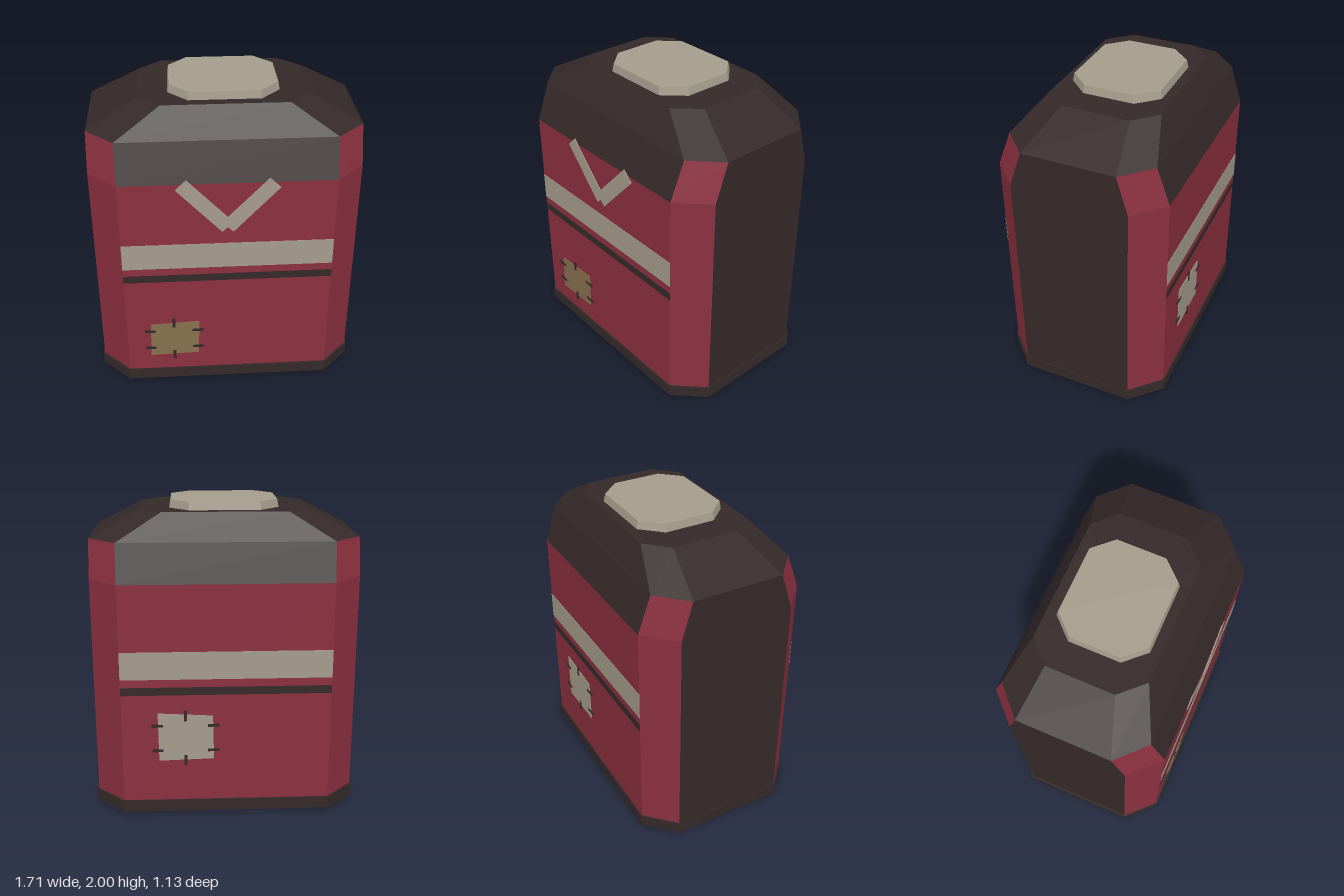
import * as THREE from 'three';

const material = (name, color) => {
  const m = new THREE.MeshStandardMaterial({ color });
  m.name = name;
  return m;
};

// Octagonal ring: half width x, front/back z, corner x, side corner z front/back
const ring = (y, x, zf, zb, cx, sf, sb) => [
  [cx, y, zf], [x, y, sf], [x, y, sb], [cx, y, zb],
  [-cx, y, zb], [-x, y, sb], [-x, y, sf], [-cx, y, zf],
];

// Joins rings from bottom to top with flat faces and closes both ends;
// pick(level, edge) gives the material index of each side face.
function loft(rings, pick = () => 0, endIndex = 0) {
  const pos = [], geo = new THREE.BufferGeometry(), n = rings[0].length;
  const add = (index, ...pts) => {
    geo.addGroup(pos.length / 3, pts.length, index);
    pts.forEach((p) => pos.push(...p));
  };
  for (let l = 0; l < rings.length - 1; l++) {
    for (let e = 0; e < n; e++) {
      const f = (e + 1) % n, a = rings[l], b = rings[l + 1];
      add(pick(l, e), a[e], a[f], b[f], a[e], b[f], b[e]);
    }
  }
  const end = (r, up) => {
    const mid = [0, r.foldY ?? r[0][1], (r[0][2] + r[3][2]) / 2];
    for (let e = 0; e < n; e++) {
      const p = r[e], q = r[(e + 1) % n];
      add(endIndex, mid, ...(up ? [p, q] : [q, p]));
    }
  };
  end(rings[0], false);
  end(rings[rings.length - 1], true);
  geo.setAttribute('position', new THREE.Float32BufferAttribute(pos, 3));
  geo.computeVertexNormals();
  return geo;
}

export function createModel() {
  const model = new THREE.Group();
  const red = material('dark red', 0x8b303f);
  const dark = material('charcoal brown', 0x352929);
  const cream = material('warm grey', 0xa59d8c);
  const tan = material('tan patch', 0x88714f);

  const mesh = (name, geo, mat, parent = model) => {
    const m = new THREE.Mesh(geo, mat);
    m.name = name;
    parent.add(m);
    return m;
  };

  // Main body: red panels and corners, dark sides, yoke and shoulders
  const body = loft([
    ring(0.1, 0.845, 0.555, -0.555, 0.665, 0.375, -0.375),
    ring(1.54, 0.845, 0.555, -0.555, 0.665, 0.375, -0.375),
    ring(1.78, 0.845, 0.46, -0.475, 0.67, 0.29, -0.305),
    ring(1.95, 0.53, 0.325, -0.385, 0.39, 0.18, -0.25),
  ], (level, edge) => {
    const corner = edge % 2 === 0, side = edge === 1 || edge === 5;
    if (level === 0) return side ? 1 : 0;
    if (level === 1) return corner ? 0 : 1;
    return 1;
  }, 1);
  mesh('body', body, [red, dark]);

  // Hem band around the foot
  mesh('hem', loft([
    ring(0.025, 0.855, 0.565, -0.565, 0.67, 0.38, -0.38),
    ring(0.105, 0.855, 0.565, -0.565, 0.67, 0.38, -0.38),
  ]), [dark]);

  // Neck plug on top
  mesh('neckPlug', loft([
    ring(1.93, 0.348, 0.265, -0.325, 0.225, 0.135, -0.195),
    ring(2.0, 0.335, 0.253, -0.31, 0.218, 0.128, -0.185),
  ]), [cream]);

  // Underside plate, folded along its middle
  const plate = (rule) => {
    const r = ring(0, 0.29, 0.33, -0.36, 0.17, 0.21, -0.235);
    r.splice(4, 0, [0, 0, -0.36]);
    r.push([0, 0, 0.33]);
    r.forEach((p) => { p[1] = rule(Math.abs(p[0])); });
    r.foldY = rule(0);
    return r;
  };
  mesh('underPlate', loft([plate((x) => 0.022 * (1 - x / 0.29)), plate(() => 0.04)]), [cream]);

  // Thin flat piece lying on a panel
  const flat = (name, points, mat, parent, thick) => {
    const shape = new THREE.Shape(points.map(([x, y]) => new THREE.Vector2(x, y)));
    const geo = new THREE.ExtrudeGeometry(shape, { depth: thick, bevelEnabled: false });
    mesh(name, geo, mat, parent).position.z = 0.5545;
  };
  const rect = (x, y, w, h) => [
    [x - w / 2, y - h / 2], [x + w / 2, y - h / 2], [x + w / 2, y + h / 2], [x - w / 2, y + h / 2],
  ];

  // Stripes and a stitched patch for each panel
  function panel(name, patch, patchMat, cx, cy, dx, dy, rowGap) {
    const g = new THREE.Group();
    g.name = name;
    model.add(g);
    flat('wideStripe', rect(0, 1.025, 1.33, 0.18), cream, g, 0.003);
    flat('thinStripe', rect(0, 0.857, 1.33, 0.052), dark, g, 0.003);
    flat('patch', patch, patchMat, g, 0.005);
    for (const s of [-1, 1]) {
      flat('stitch', rect(cx, cy + s * dy, 0.02, 0.07), dark, g, 0.008);
      for (const t of [-1, 1]) {
        flat('stitch', rect(cx + s * dx, cy + t * rowGap, 0.072, 0.018), dark, g, 0.008);
      }
    }
    return g;
  }
  const front = panel('frontPanel',
    [[-0.515, 0.225], [-0.195, 0.235], [-0.185, 0.5], [-0.505, 0.485]],
    tan, -0.355, 0.36, 0.158, 0.133, 0.07);
  const back = panel('backPanel',
    [[-0.43, 0.385], [-0.08, 0.395], [-0.085, 0.69], [-0.435, 0.71]],
    cream, -0.26, 0.54, 0.178, 0.152, 0.085);
  back.rotation.y = Math.PI;

  // V-shaped chevron on the chest
  for (const s of [-1, 1]) {
    flat('chevronArm',
      [[s * 0.318, 1.505], [s * 0.25, 1.57], [s * -0.035, 1.268], [s * 0.035, 1.2]],
      cream, front, s < 0 ? 0.005 : 0.006);
  }
  return model;
}
